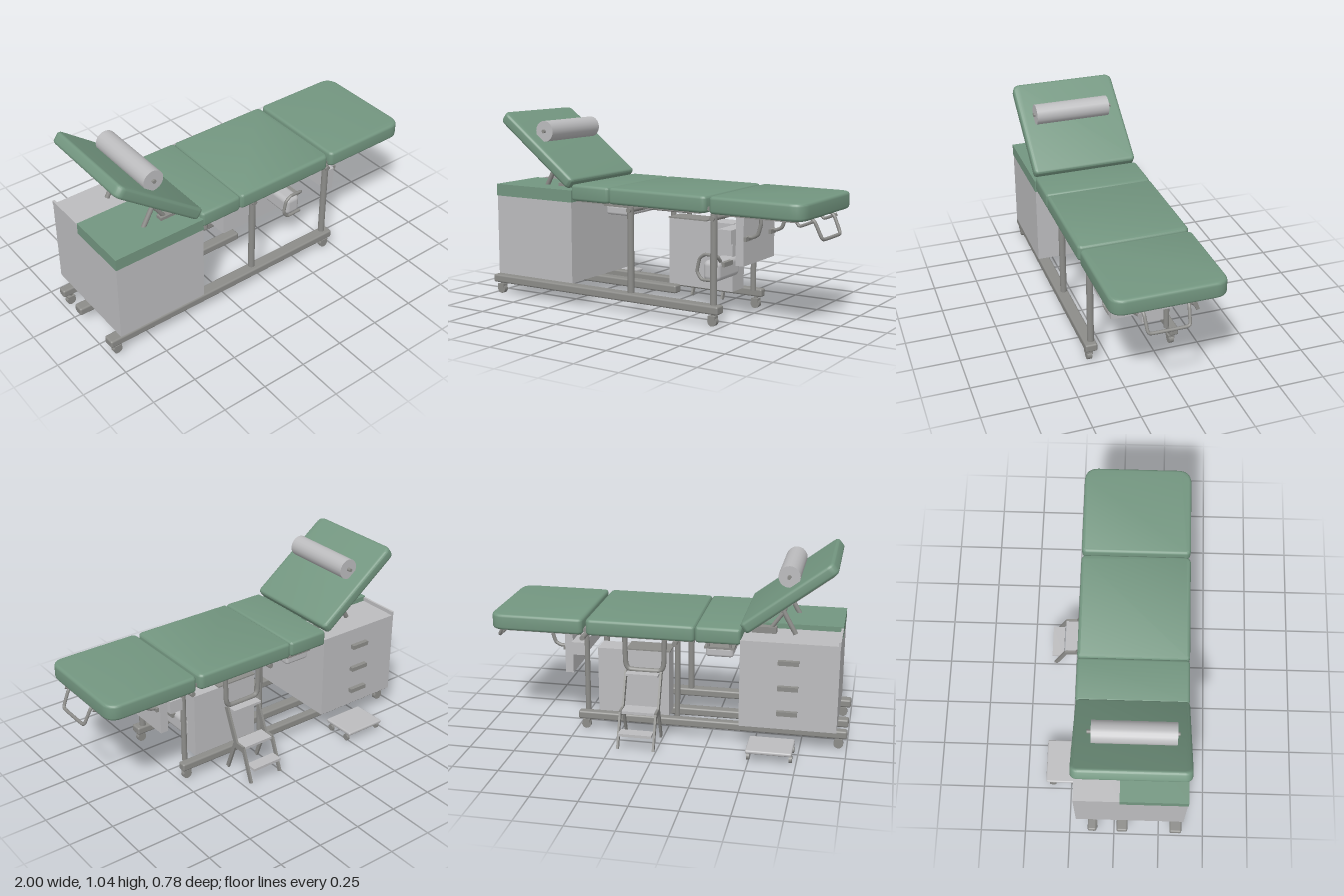
import * as THREE from 'three';
import { toCreasedNormals } from 'three/addons/utils/BufferGeometryUtils.js';
import { RoundedBoxGeometry } from 'three/addons/geometries/RoundedBoxGeometry.js';

export function createModel() {
  const model = new THREE.Group();
  model.name = 'treatmentTable';
  const material = (name, color) => {
    const m = new THREE.MeshStandardMaterial({ color });
    m.name = name;
    return m;
  };
  const green = material('greenUpholstery', 0x739680);
  const pale = material('paleGrey', 0xbcbcbe);
  const steel = material('steelGrey', 0x8c8c89);

  const V = (x, y, z) => new THREE.Vector3(x, y, z);
  const add = (name, geometry, mat, parent = model) => {
    const mesh = new THREE.Mesh(geometry, mat);
    mesh.name = name;
    parent.add(mesh);
    return mesh;
  };
  // Box given by its limits on each axis
  const box = (name, x0, x1, y0, y1, z0, z1, mat, parent) => {
    const mesh = add(name, new THREE.BoxGeometry(x1 - x0, y1 - y0, z1 - z0), mat, parent);
    mesh.position.set((x0 + x1) / 2, (y0 + y1) / 2, (z0 + z1) / 2);
    return mesh;
  };
  // Straight round bar between two points
  const rod = (name, a, b, r, mat, parent) => {
    const mesh = add(name, new THREE.CylinderGeometry(r, r, a.distanceTo(b), 20), mat, parent);
    mesh.position.copy(a).add(b).multiplyScalar(0.5);
    mesh.quaternion.setFromUnitVectors(V(0, 1, 0), b.clone().sub(a).normalize());
    return mesh;
  };
  // Flat bar in the yz plane, its thickness along x
  const flatBar = (name, x, a, b, width, thick, mat, parent) => {
    const [y0, z0] = a, [y1, z1] = b;
    const mesh = add(name, new THREE.BoxGeometry(thick, Math.hypot(y1 - y0, z1 - z0), width), mat, parent);
    mesh.position.set(x, (y0 + y1) / 2, (z0 + z1) / 2);
    mesh.rotation.x = Math.atan2(z1 - z0, y1 - y0);
    return mesh;
  };
  // Bent tube with tight corners
  const bentTube = (name, points, r, mat, parent) => {
    const curve = new THREE.CatmullRomCurve3(points, false, 'catmullrom', 0.25);
    return add(name, new THREE.TubeGeometry(curve, points.length * 10, r, 10), mat, parent);
  };
  // Padded panel with plan corner radii r0 at the -x end and r1 at the +x end
  const pad = (name, length, depth, thick, r0, r1, parent) => {
    const bevel = 0.016, w = length / 2 - bevel, d = depth / 2 - bevel;
    const s = new THREE.Shape();
    s.moveTo(-w + r0, -d);
    s.lineTo(w - r1, -d);
    s.quadraticCurveTo(w, -d, w, -d + r1);
    s.lineTo(w, d - r1);
    s.quadraticCurveTo(w, d, w - r1, d);
    s.lineTo(-w + r0, d);
    s.quadraticCurveTo(-w, d, -w, d - r0);
    s.lineTo(-w, -d + r0);
    s.quadraticCurveTo(-w, -d, -w + r0, -d);
    const g = new THREE.ExtrudeGeometry(s, {
      depth: thick - 2 * bevel, bevelThickness: bevel, bevelSize: bevel, bevelSegments: 4, curveSegments: 6,
    });
    g.translate(0, 0, -(thick - 2 * bevel) / 2);
    g.rotateX(-Math.PI / 2);
    return add(name, toCreasedNormals(g, 0.7), green, parent);
  };

  // Flat mattress panels with thin base boards
  const panels = [['hipPad', -0.425, -0.18, 0.005, 0.005], ['seatPad', -0.178, 0.42, 0.005, 0.015], ['footPad', 0.436, 0.96, 0.015, 0.06]];
  for (const [name, x0, x1, r0, r1] of panels) {
    pad(name, x1 - x0, 0.605, 0.088, r0, r1).position.set((x0 + x1) / 2, 0.626, 0.083);
    box(name + 'Board', x0 + 0.015, x1 - 0.05, 0.574, 0.584, -0.19, 0.355, steel);
  }
  rod('footHinge', V(0.428, 0.605, -0.19), V(0.428, 0.605, 0.36), 0.011, steel);

  // Raised backrest carrying the paper roll
  const backrest = new THREE.Group();
  backrest.name = 'backrest';
  backrest.position.set(-0.667, 0.845, 0.085);
  backrest.rotation.z = -0.652;
  model.add(backrest);
  pad('backPad', 0.59, 0.6, 0.064, 0.025, 0.01, backrest);
  box('backBoard', -0.26, 0.27, -0.037, -0.03, -0.27, 0.27, steel, backrest);
  rod('paperRoll', V(-0.66, 0.942, -0.12), V(-0.66, 0.942, 0.31), 0.058, pale);
  rod('rollAxle', V(-0.66, 0.942, -0.142), V(-0.66, 0.942, 0.322), 0.01, steel);
  for (const z of [-0.08, 0.25]) {
    rod('backrestStrut', V(-0.7, 0.62, z), V(-0.62, 0.765, z), 0.013, steel);
    rod('backrestBrace', V(-0.635, 0.74, z), V(-0.55, 0.62, z), 0.011, steel);
    box('backrestBracket', -0.6, -0.47, 0.62, 0.655, z - 0.02, z + 0.02, steel);
  }
  rod('strutCrossbar', V(-0.635, 0.735, -0.08), V(-0.635, 0.735, 0.25), 0.01, steel);

  // Drawer cabinet with part-upholstered top
  box('cabinet', -0.945, -0.422, 0.125, 0.572, -0.213, 0.385, pale);
  box('cabinetTop', -0.945, -0.422, 0.572, 0.61, -0.213, 0.03, pale);
  box('cabinetCover', -0.947, -0.421, 0.572, 0.638, 0.03, 0.388, green);
  box('cabinetRim', -0.947, -0.935, 0.61, 0.632, -0.213, 0.03, pale);
  for (const y of [0.22, 0.362, 0.505]) {
    box('drawerHandle', -0.735, -0.625, y - 0.012, y + 0.012, -0.238, -0.212, steel);
  }

  // Base rails
  for (const [z, half, end] of [[0.343, 0.033, 0.49], [0.045, 0.03, 0.05], [-0.122, 0.024, 0.49]]) {
    const rail = add('baseRail', new RoundedBoxGeometry(end + 1, 0.045, half * 2, 2, 0.01), steel);
    rail.position.set((end - 1) / 2, 0.086, z);
  }
  // Casters under the outer rails
  for (const x of [-0.955, 0.45]) for (const z of [0.35, -0.112]) {
    rod('casterStem', V(x, 0.035, z), V(x, 0.068, z), 0.011, steel);
    rod('casterWheel', V(x, 0.026, z - 0.013), V(x, 0.026, z + 0.013), 0.026, steel);
    box('casterFork', x - 0.02, x + 0.02, 0.035, 0.055, z - 0.018, z + 0.018, steel);
  }
  // Legs and top crossbars
  for (const x of [-0.065, 0.445]) {
    rod('frontLeg', V(x, 0.1, 0.336), V(x, 0.578, 0.336), 0.018, steel);
    rod('rearLeg', V(x, 0.1, -0.09), V(x, 0.578, -0.09), 0.015, steel);
    rod('topCrossbar', V(x, 0.555, -0.19), V(x, 0.555, 0.36), 0.014, steel);
  }

  // Equipment case under the seat
  box('equipmentCase', -0.02, 0.38, 0.105, 0.475, -0.1, 0.025, pale);
  box('caseLid', -0.025, 0.22, 0.475, 0.482, -0.1, 0.03, steel);
  rod('seatLever', V(-0.03, 0.555, 0.2), V(0.22, 0.555, 0.2), 0.013, steel);
  for (const x of [0.0, 0.19]) rod('leverHanger', V(x, 0.555, 0.2), V(x, 0.578, 0.2), 0.008, steel);

  // Hanging tray under the hip panel
  const tray = add('tray', new RoundedBoxGeometry(0.15, 0.055, 0.26, 2, 0.015), pale);
  tray.position.set(-0.3, 0.505, 0.0);
  box('trayRim', -0.382, -0.218, 0.526, 0.538, -0.14, 0.14, steel);
  for (const x of [-0.36, -0.24]) for (const z of [-0.13, 0.13]) {
    rod('trayHanger', V(x, 0.535, z), V(x, 0.578, z), 0.008, steel);
  }

  // Mounting plate under the foot panel with its cross beam
  box('mountPlate', 0.532, 0.577, 0.308, 0.576, -0.072, 0.265, pale);
  box('mountBeam', 0.455, 0.532, 0.425, 0.497, -0.1, 0.315, pale);
  for (const z of [-0.04, 0.23]) {
    bentTube('plateHook', [V(0.655, 0.58, z), V(0.657, 0.53, z), V(0.64, 0.475, z), V(0.61, 0.457, z), V(0.57, 0.455, z)], 0.01, steel);
    box('hookSocket', 0.575, 0.592, 0.437, 0.46, z - 0.02, z + 0.035, steel);
  }

  // Portable lamp unit with carrying loop
  const unit = add('portableUnit', new RoundedBoxGeometry(0.1, 0.11, 0.235, 4, 0.028), pale);
  unit.position.set(0.345, 0.245, 0.083);
  bentTube('unitHandle', [V(0.39, 0.2, 0.205), V(0.3, 0.2, 0.208), V(0.27, 0.24, 0.208),
    V(0.285, 0.31, 0.208), V(0.32, 0.335, 0.208), V(0.39, 0.33, 0.205), V(0.395, 0.3, 0.18)], 0.009, steel);
  box('unitGrip', 0.385, 0.41, 0.268, 0.292, 0.075, 0.165, steel);

  // Pull handle at the foot end
  bentTube('footHandle', [V(0.93, 0.58, 0.225), V(0.95, 0.56, 0.222), V(0.982, 0.49, 0.215), V(0.988, 0.478, 0.195),
    V(0.988, 0.478, 0.02), V(0.982, 0.49, 0.0), V(0.95, 0.56, -0.007), V(0.93, 0.58, -0.01)], 0.009, steel);
  for (const z of [-0.035, 0.25]) {
    bentTube('footHandleBracket', [V(0.85, 0.58, z), V(0.88, 0.542, z), V(0.955, 0.572, z)], 0.008, steel);
  }

  // Hanging grab rail above the steps
  bentTube('grabRail', [V(-0.005, 0.575, -0.155), V(0, 0.42, -0.155), V(0.025, 0.385, -0.155),
    V(0.185, 0.385, -0.155), V(0.21, 0.42, -0.155), V(0.215, 0.575, -0.155)], 0.014, steel);

  // Folding step stool
  const stool = new THREE.Group();
  stool.name = 'stepStool';
  model.add(stool);
  for (const x of [0.012, 0.208]) {
    flatBar('upperStile', x, [0.38, -0.158], [0.18, -0.245], 0.03, 0.012, steel, stool);
    flatBar('innerLeg', x, [0.005, -0.165], [0.19, -0.235], 0.022, 0.012, steel, stool);
    flatBar('outerLeg', x, [0.19, -0.305], [0.005, -0.375], 0.022, 0.012, steel, stool);
    box('stoolSide', x - 0.006, x + 0.006, 0.165, 0.2, -0.31, -0.225, steel, stool);
  }
  box('topTread', 0.02, 0.2, 0.365, 0.378, -0.215, -0.15, pale, stool);
  box('middleTread', 0.02, 0.2, 0.183, 0.198, -0.312, -0.218, pale, stool);
  box('lowerTread', 0.02, 0.2, 0.085, 0.1, -0.392, -0.325, pale, stool);

  // Low wheeled platform beside the cabinet
  const platform = new THREE.Group();
  platform.name = 'wheeledPlatform';
  model.add(platform);
  const deck = add('deck', new RoundedBoxGeometry(0.245, 0.02, 0.2, 2, 0.008), pale, platform);
  deck.position.set(-0.605, 0.056, -0.293);
  for (const x of [-0.72, -0.495]) for (const z of [-0.355, -0.225]) {
    rod('platformStem', V(x, 0.02, z), V(x, 0.05, z), 0.007, steel, platform);
    rod('platformWheel', V(x - 0.008, 0.019, z), V(x + 0.008, 0.019, z), 0.019, steel, platform);
  }
  return model;
}
